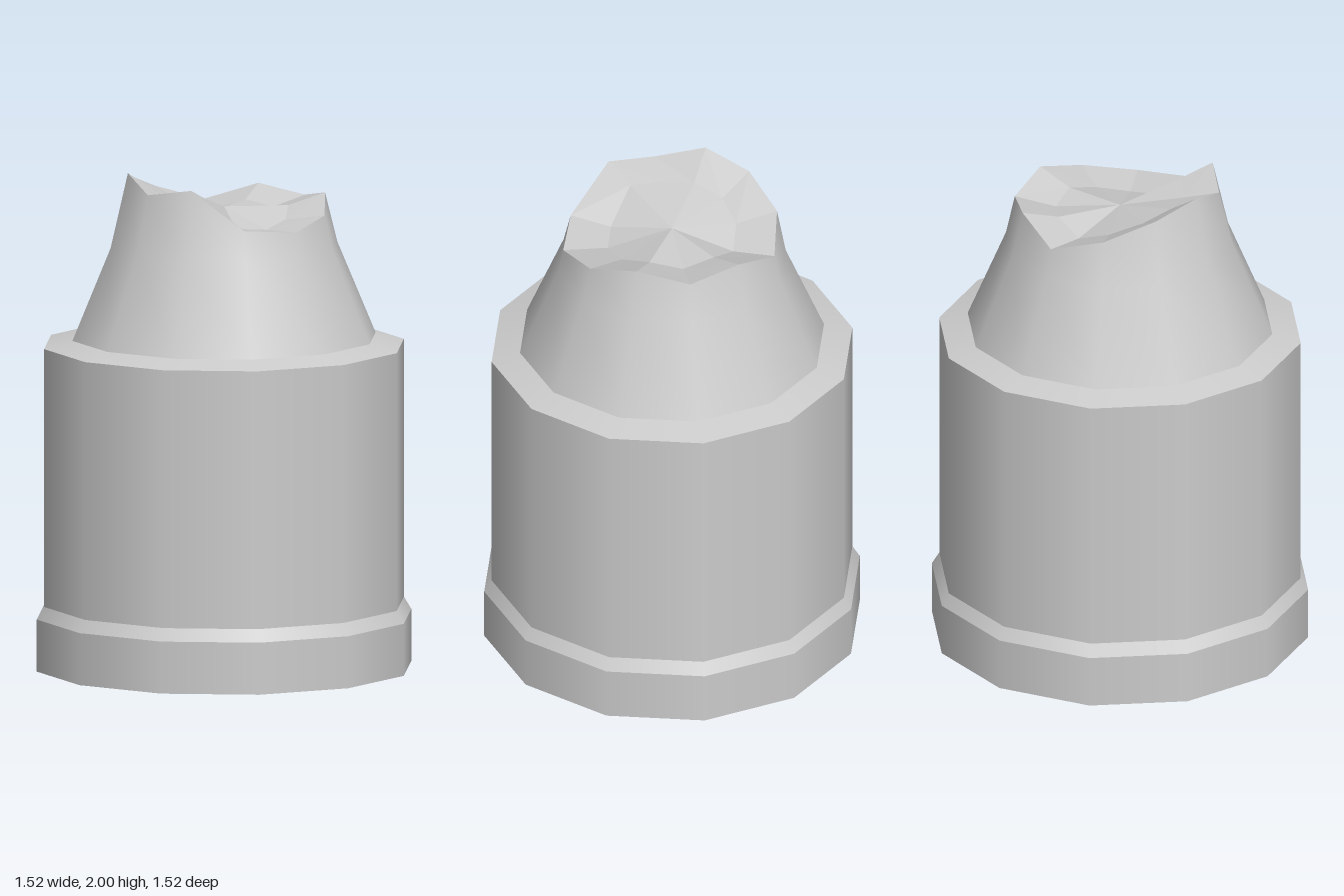
import * as THREE from 'three';

const SIDES = 12;
// Broken rim, from the front (+z) round through +x: [radius, height]
const RIM = [
  [0.43, 1.82], [0.44, 1.80], [0.425, 1.84], [0.41, 1.90], [0.425, 1.86], [0.415, 1.89],
  [0.435, 1.82], [0.425, 1.89], [0.40, 1.96], [0.39, 2.0], [0.40, 1.94], [0.395, 1.975],
];
const CENTRE_Y = 1.855;

function polar(i, radius, y) {
  const a = (i / SIDES) * Math.PI * 2;
  return [Math.sin(a) * radius, y, Math.cos(a) * radius];
}

function createModel() {
  const group = new THREE.Group();
  const smooth = new THREE.MeshStandardMaterial({ color: 0xcccccc, side: THREE.DoubleSide });
  const faceted = new THREE.MeshStandardMaterial({ color: 0xcccccc, side: THREE.DoubleSide, flatShading: true });

  function add(name, geometry, material) {
    const mesh = new THREE.Mesh(geometry, material);
    mesh.name = name;
    group.add(mesh);
    return mesh;
  }
  const band = (...profile) =>
    new THREE.LatheGeometry(profile.map(([r, y]) => new THREE.Vector2(r, y)), SIDES);

  // Open shell, one band per part so the horizontal edges stay sharp
  add('baseCollar', band([0.76, 0], [0.76, 0.21]), smooth);
  add('collarBevel', band([0.76, 0.21], [0.73, 0.26]), smooth);
  add('body', band([0.73, 0.26], [0.73, 1.30]), smooth);
  add('shoulder', band([0.73, 1.30], [0.615, 1.33]), smooth);

  // Tapering neck, its top ring moved onto the broken rim
  const neck = band([0.615, 1.33], [0.46, 1.70], [0.41, 1.86]);
  for (let i = 0; i <= SIDES; i++) {
    const [r, y] = RIM[i % SIDES];
    neck.attributes.position.setXYZ(i * 3 + 2, ...polar(i, r, y));
  }
  add('neck', neck, smooth);

  // Faceted, dished fracture surface: centre, inner ring, rim
  const points = [0, CENTRE_Y, 0];
  RIM.forEach(([, y], i) => {
    const dip = i === 10 || i === 11 ? 0 : 0.03;
    points.push(...polar(i, 0.26, THREE.MathUtils.lerp(CENTRE_Y, y, 0.62) - dip));
  });
  RIM.forEach(([r, y], i) => points.push(...polar(i, r, y)));
  const faces = [];
  for (let i = 0; i < SIDES; i++) {
    const a = 1 + i;
    const b = 1 + ((i + 1) % SIDES);
    faces.push(0, a, b, a, a + SIDES, b + SIDES, a, b + SIDES, b);
  }
  const fracture = new THREE.BufferGeometry();
  fracture.setAttribute('position', new THREE.Float32BufferAttribute(points, 3));
  fracture.setIndex(faces);
  fracture.computeVertexNormals();
  add('fractureSurface', fracture, faceted);

  return group;
}

export { createModel };
